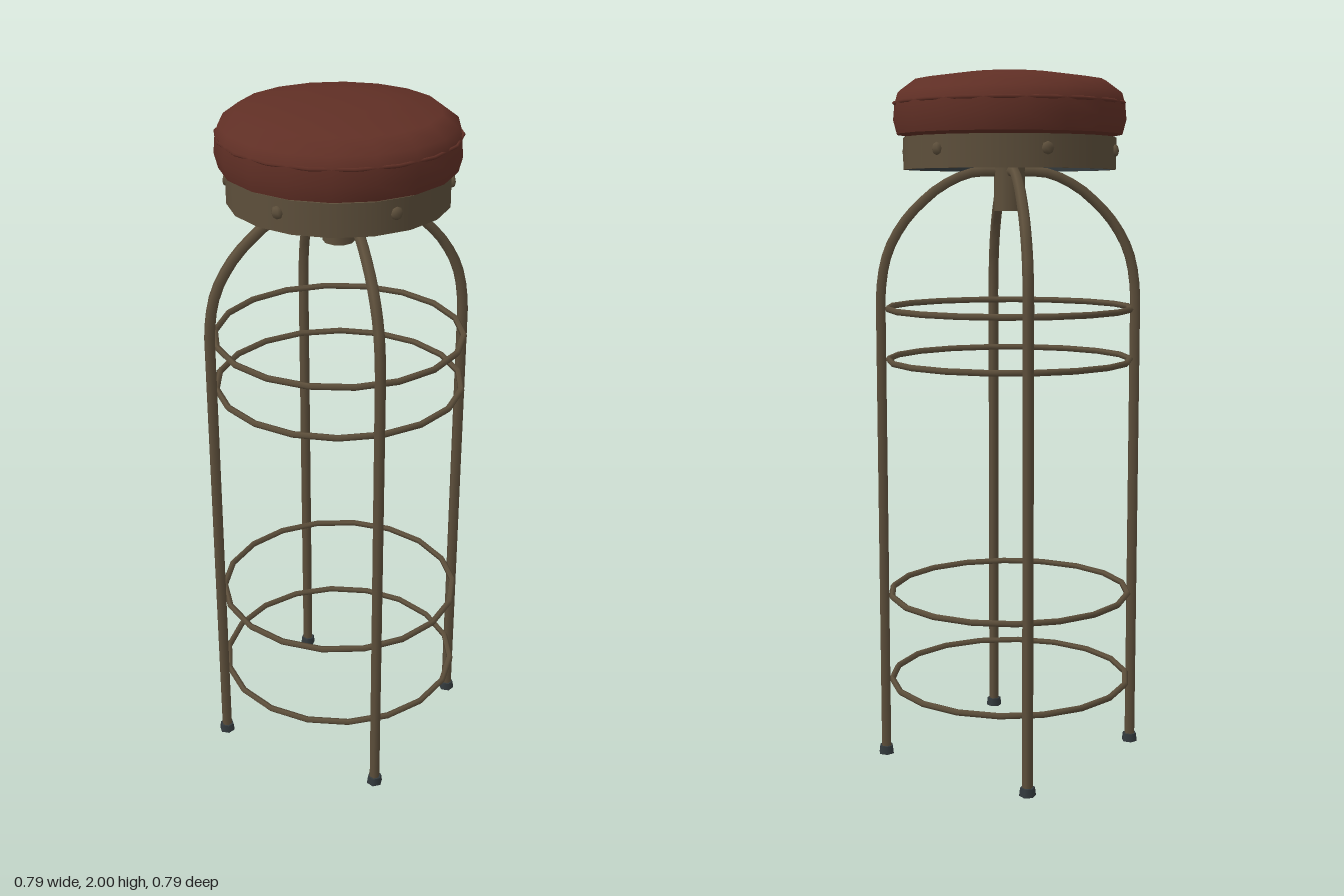
import * as THREE from 'three';

const mat = (name, color, extra = {}) => {
  const m = new THREE.MeshStandardMaterial({ color, ...extra });
  m.name = name;
  return m;
};

export function createModel() {
  const leather = mat('red leather', 0x602f25);
  const metal = mat('aged bronze', 0x5d4f3b);
  const dark = mat('dark slate', 0x333a3d);
  const model = new THREE.Group();
  model.name = 'barStool';

  const add = (name, geometry, material, parent = model) => {
    const mesh = new THREE.Mesh(geometry, material);
    mesh.name = name;
    parent.add(mesh);
    return mesh;
  };
  // Profiles run bottom to top for outward faces, top to bottom for inward ones
  const lathe = (points, sides) =>
    new THREE.LatheGeometry(points.map(([r, y]) => new THREE.Vector2(r, y)), sides);

  // Cushion: side wall, domed top, flat underside and seam
  add('cushionSide', lathe([[0.322, 1.828], [0.333, 1.87], [0.329, 1.914]], 18), leather);
  add('cushionTop', lathe([[0.329, 1.914], [0.32, 1.945], [0.275, 1.978], [0.13, 1.999], [0, 2]], 18), leather);
  add('cushionUnderside', lathe([[0, 1.828], [0.322, 1.828]], 18), leather);
  const seam = add('cushionSeam', new THREE.TorusGeometry(0.329, 0.005, 4, 18), leather);
  seam.rotation.x = Math.PI / 2;
  seam.position.y = 1.914;

  // Metal band under the cushion, open above and below
  add('seatBand', lathe([[0.305, 1.73], [0.305, 1.82]], 18), metal);
  add('bandLip', lathe([[0.295, 1.73], [0.305, 1.73]], 18), metal);
  add('bandTopLip', lathe([[0.305, 1.82], [0.295, 1.82]], 18), metal);
  add('bandLining', lathe([[0.295, 1.82], [0.295, 1.73]], 18), dark);

  // Rivets around the band
  for (let i = 0; i < 6; i++) {
    const a = THREE.MathUtils.degToRad(12 + i * 60);
    const rivet = add('rivet', new THREE.SphereGeometry(0.018, 6, 4), metal);
    rivet.scale.z = 0.6;
    rivet.rotation.y = a;
    rivet.position.set(Math.sin(a) * 0.304, 1.782, Math.cos(a) * 0.304);
  }

  // Hollow central hub
  add('hub', lathe([[0.033, 1.613], [0.045, 1.613], [0.045, 1.613], [0.045, 1.74], [0.045, 1.74], [0, 1.74]], 10), metal);
  add('hubBore', lathe([[0.033, 1.73], [0.033, 1.613]], 10), metal);

  // Four legs arching out from the hub
  const path = new THREE.CurvePath();
  const v = (x, y) => new THREE.Vector3(x, y, 0);
  const arch = new THREE.CatmullRomCurve3([
    v(0.03, 1.725), v(0.12, 1.72), v(0.215, 1.67), v(0.31, 1.575), v(0.36, 1.47), v(0.373, 1.37),
  ]);
  arch.getPoints(10).concat([v(0.373, 0.015)]).forEach((p, i, all) => {
    if (i) path.add(new THREE.LineCurve3(all[i - 1], p));
  });
  const legGeometry = new THREE.TubeGeometry(path, 48, 0.0155, 6);
  const footGeometry = new THREE.CylinderGeometry(0.021, 0.024, 0.024, 6);
  for (let i = 0; i < 4; i++) {
    const leg = new THREE.Group();
    leg.name = 'leg' + (i + 1);
    leg.rotation.y = i * Math.PI / 2;
    model.add(leg);
    add('legTube', legGeometry, metal, leg);
    add('foot', footGeometry, dark, leg).position.set(0.373, 0.012, 0);
  }

  // Four brace rings, each turned a little differently
  [1.335, 1.185, 0.49, 0.225].forEach((y, i) => {
    const ring = add('braceRing' + (i + 1), new THREE.TorusGeometry(0.353, 0.0095, 5, 18), metal);
    ring.rotation.set(Math.PI / 2, 0, i * 0.13);
    ring.position.y = y;
  });

  return model;
}
